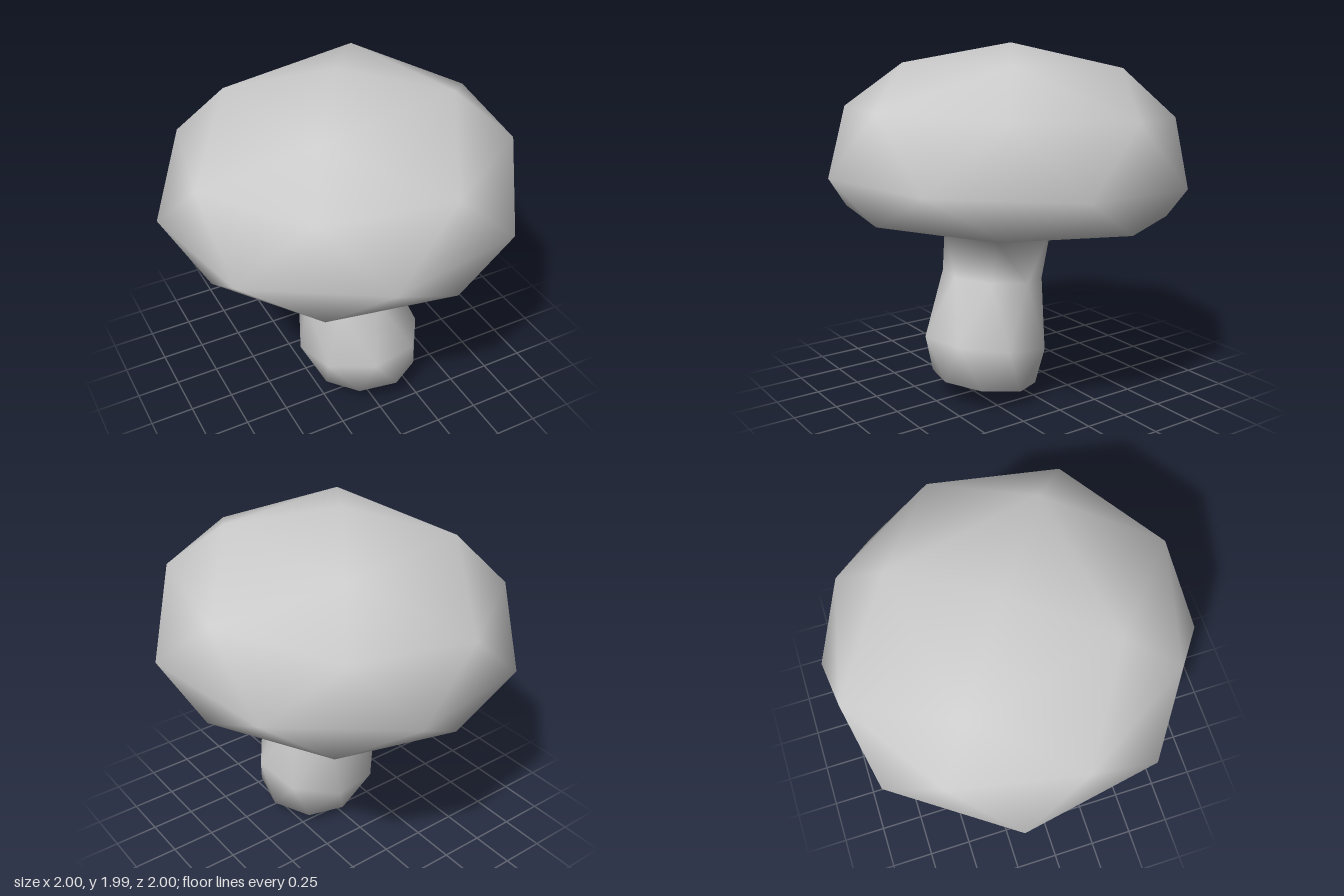
import * as THREE from 'three';

const SIDES = 8;
const TURN = 0.222; // rotation of the unstaggered rings about y

// Smooth closed skin through tilted rings, ending in a point at each end.
// Ring: c centre, r radius along x and z, tilt y slope along x and z,
// stagger turns it half a step, sparse keeps every second corner only.
function loft(bottom, rings, top) {
  const positions = [...bottom];
  const starts = [];
  for (const { c, r, tilt, stagger, sparse } of rings) {
    starts.push(positions.length / 3);
    for (let i = 0; i < SIDES; i += sparse ? 2 : 1) {
      const a = TURN + ((i + (stagger ? 0.5 : 0)) / SIDES) * Math.PI * 2;
      const dx = Math.cos(a) * r[0];
      const dz = Math.sin(a) * r[1];
      positions.push(c[0] + dx, c[1] + tilt[0] * dx + tilt[1] * dz, c[2] + dz);
    }
  }
  const last = positions.length / 3;
  positions.push(...top);

  const index = [];
  const tri = (a, b, c) => {
    if (a !== b && b !== c && c !== a) index.push(a, b, c);
  };
  const at = (k, i) => starts[k] + (rings[k].sparse ? (i % SIDES) >> 1 : i % SIDES);
  const end = rings.length - 1;
  for (let i = 0; i < SIDES; i++) {
    tri(0, at(0, i), at(0, i + 1));
    for (let k = 0; k < end; k++) {
      const a = at(k, i), b = at(k, i + 1), c = at(k + 1, i), d = at(k + 1, i + 1);
      // choose the diagonal that follows the half-step turn
      if (rings[k + 1].sparse || (rings[k].stagger && !rings[k + 1].stagger)) {
        tri(a, c, d);
        tri(a, d, b);
      } else {
        tri(a, c, b);
        tri(b, c, d);
      }
    }
    tri(at(end, i), last, at(end, i + 1));
  }

  const geometry = new THREE.BufferGeometry();
  geometry.setAttribute('position', new THREE.Float32BufferAttribute(positions, 3));
  geometry.setIndex(index);
  geometry.computeVertexNormals();
  return geometry;
}

export function createModel() {
  const grey = new THREE.MeshStandardMaterial({ color: 0xcccccc });
  grey.name = 'plain grey';

  const rings = [
    // bulbous leaning stem, up to the neck
    { c: [0.055, 0.1, 0.21], r: [0.295, 0.295], tilt: [0.01, 0.17], stagger: true },
    { c: [0.025, 0.32, 0.175], r: [0.358, 0.365], tilt: [0.05, 0.17] },
    { c: [-0.02, 0.68, 0.1], r: [0.285, 0.285], tilt: [0.03, 0.12], stagger: true },
    { c: [-0.025, 0.93, 0.06], r: [0.31, 0.3], tilt: [0, 0.03], stagger: true, sparse: true },
    // cap: lower rim, widest rim, shoulder, crown
    { c: [0.025, 1.052, 0.03], r: [0.9, 0.915], tilt: [0.025, 0.06], stagger: true },
    { c: [0, 1.258, 0], r: [1.025, 1.025], tilt: [0.02, 0.05] },
    { c: [0, 1.61, -0.015], r: [0.9, 0.94], tilt: [0.03, 0.065], stagger: true },
    { c: [-0.01, 1.865, -0.035], r: [0.61, 0.615], tilt: [0.033, 0.053], stagger: true, sparse: true },
  ];

  const mushroom = new THREE.Mesh(loft([0.05, 0, 0.21], rings, [-0.02, 1.99, -0.03]), grey);
  mushroom.name = 'mushroomCapAndStem';

  const group = new THREE.Group();
  group.name = 'mushroom';
  group.add(mushroom);
  return group;
}
